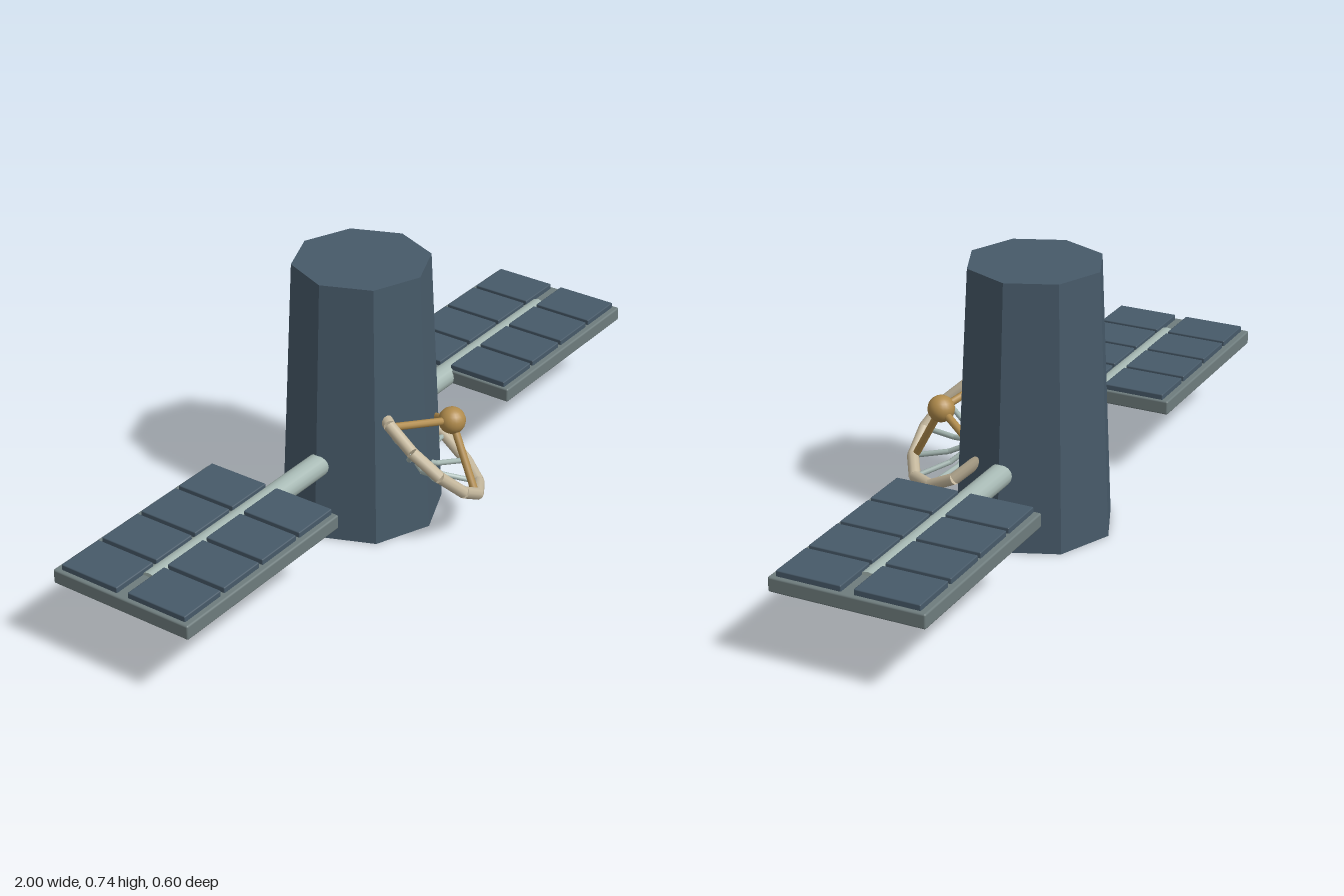
import * as THREE from 'three';
import { RoundedBoxGeometry } from 'three/addons/geometries/RoundedBoxGeometry.js';

const mat = (name, color) => {
  const m = new THREE.MeshStandardMaterial({ color });
  m.name = name;
  return m;
};

export function createModel() {
  const navy = mat('navy hull', 0x475a69);
  const frameGrey = mat('frame grey', 0x6e7c7d);
  const paleSteel = mat('pale steel', 0xa6b8b3);
  const cream = mat('cream', 0xc6b99e);
  const brass = mat('brass', 0xb08b4c);

  const model = new THREE.Group();
  model.name = 'satellite';

  const add = (parent, name, geometry, material, x = 0, y = 0, z = 0) => {
    const mesh = new THREE.Mesh(geometry, material);
    mesh.name = name;
    mesh.position.set(x, y, z);
    parent.add(mesh);
    return mesh;
  };

  // Round bar between two points
  const UP = new THREE.Vector3(0, 1, 0);
  const bar = (parent, name, a, b, radius, material, sides = 10) => {
    const d = b.clone().sub(a);
    const mesh = add(parent, name, new THREE.CylinderGeometry(radius, radius, d.length(), sides), material);
    mesh.position.copy(a).add(b).multiplyScalar(0.5);
    mesh.quaternion.setFromUnitVectors(UP, d.normalize());
    return mesh;
  };

  // Eight-sided tapering hull
  const axisZ = -0.08;
  const hull = new THREE.CylinderGeometry(0.185, 0.22, 0.74, 8).toNonIndexed();
  hull.computeVertexNormals();
  add(model, 'hull', hull, navy, 0, 0.37, axisZ);

  // Arm running through the hull and both solar panels
  bar(model, 'panelArm', new THREE.Vector3(-0.89, 0.215, axisZ),
    new THREE.Vector3(0.89, 0.215, axisZ), 0.032, paleSteel, 16);

  // Solar panels: frame with two rows of four cells
  for (const side of [-1, 1]) {
    const panel = new THREE.Group();
    panel.name = side > 0 ? 'leftSolarPanel' : 'rightSolarPanel';
    model.add(panel);
    add(panel, 'panelFrame', new RoundedBoxGeometry(0.605, 0.04, 0.425, 2, 0.005), frameGrey,
      side * 0.6975, 0.216, -0.082);
    for (let col = 0; col < 4; col++) {
      for (const row of [-1, 1]) {
        add(panel, 'solarCell', new RoundedBoxGeometry(0.137, 0.018, 0.178, 1, 0.003), navy,
          side * (0.47 + col * 0.15), 0.2425, -0.081 + row * 0.106);
      }
    }
  }

  // Tilted dish antenna, partly sunk into the hull; local +y is its axis
  const dish = new THREE.Group();
  dish.name = 'dishAntenna';
  const center = new THREE.Vector3(0.025, 0.24, 0.12);
  const n = new THREE.Vector3(0.486, 0.727, 0.486).normalize();
  const u = new THREE.Vector3(0, 0, 1).addScaledVector(n, -n.z).normalize();
  const v = new THREE.Vector3().crossVectors(n, u);
  dish.matrix.makeBasis(u, n, v.clone().negate()).setPosition(0, 0, 0);
  const R = 0.1865, depth = 0.06, count = 12;
  // Point on the dish bowl at a rim fraction and angle in degrees (positive turns downward)
  const down = new THREE.Vector3(n.y, -n.x, 0).normalize();
  const bowl = (fraction, degrees) => {
    const a = THREE.MathUtils.degToRad(degrees);
    return center.clone()
      .addScaledVector(u, R * fraction * Math.cos(a))
      .addScaledVector(down, R * fraction * Math.sin(a))
      .addScaledVector(n, -depth * (1 - fraction * fraction));
  };
  dish.matrix.identity();
  model.add(dish);

  // Segmented rim and bent ribs
  for (let i = 0; i < count; i++) {
    const angle = -9 + i * 360 / count;
    bar(dish, 'dishRim', bowl(1, angle), bowl(1, angle + 360 / count), 0.0165, cream);
    bar(dish, 'dishRibOuter', bowl(1, angle), bowl(0.5, angle), 0.0075, paleSteel, 8);
    bar(dish, 'dishRibInner', bowl(0.5, angle), bowl(0, angle), 0.0075, paleSteel, 8);
  }

  // Receiver ball held by three struts
  const focus = center.clone().addScaledVector(n, 0.09);
  add(dish, 'receiver', new THREE.SphereGeometry(0.037, 20, 14), brass, focus.x, focus.y, focus.z);
  for (const angle of [21, 141, 261]) {
    bar(dish, 'receiverStrut', focus, bowl(0.97, angle), 0.0105, brass);
  }

  return model;
}
